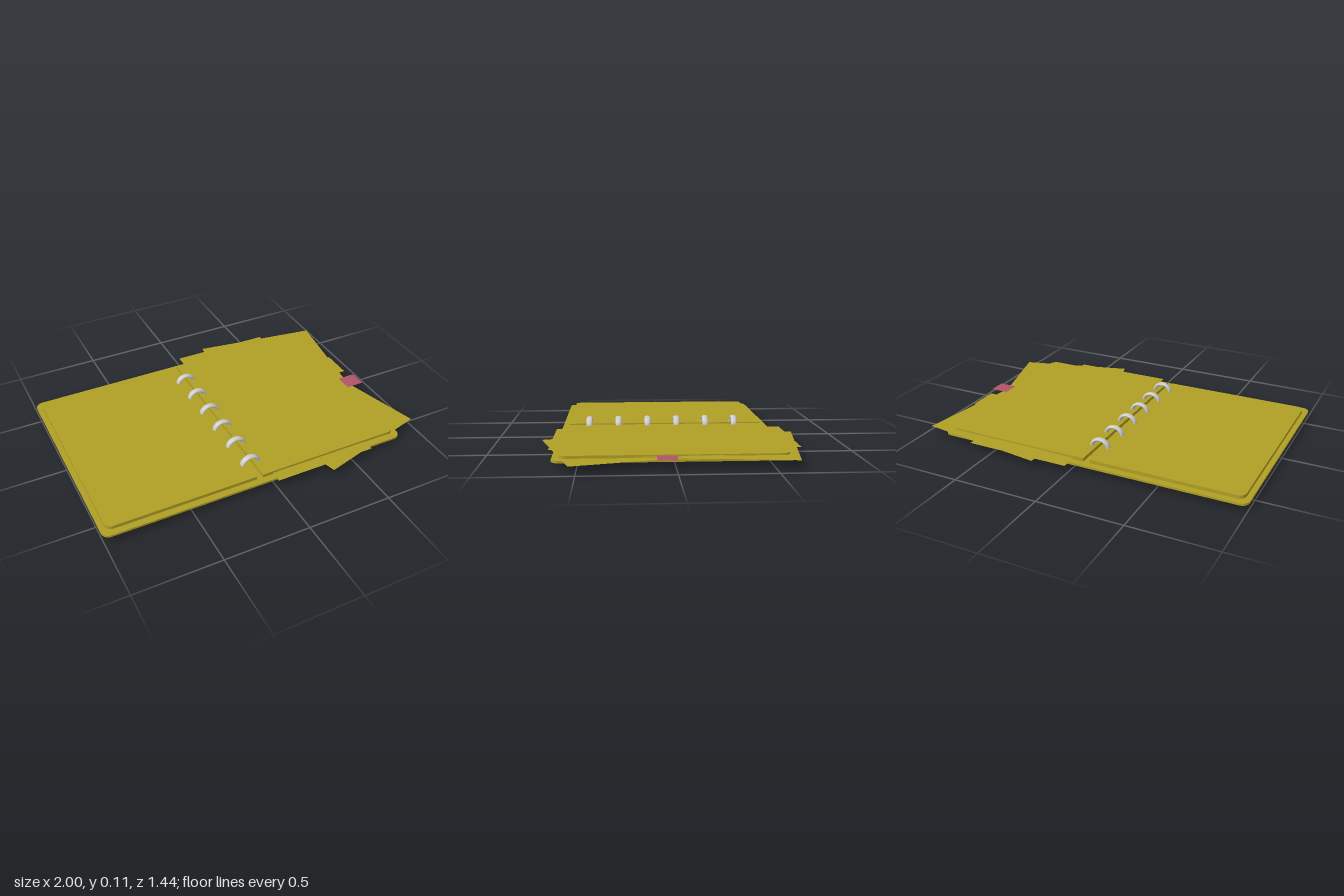
import * as THREE from 'three';

const SPINE = -0.075;

const mat = (color) => new THREE.MeshStandardMaterial({ color });
const paper = mat(0xb0a025);
const metal = mat(0xcccccc);
const sheetMat = mat(0xb0a025);
sheetMat.side = THREE.DoubleSide;
const tabMat = mat(0xb05468);
tabMat.side = THREE.DoubleSide;

// Flat slab lying between y0 and y1, with separate corner radii on its -x and +x sides
function slab(name, x0, x1, z, y0, y1, rl, rr) {
  const s = new THREE.Shape();
  s.moveTo(x0 + rl, -z);
  s.lineTo(x1 - rr, -z);
  if (rr) s.absarc(x1 - rr, -z + rr, rr, -Math.PI / 2, 0);
  s.lineTo(x1, z - rr);
  if (rr) s.absarc(x1 - rr, z - rr, rr, 0, Math.PI / 2);
  s.lineTo(x0 + rl, z);
  if (rl) s.absarc(x0 + rl, z - rl, rl, Math.PI / 2, Math.PI);
  s.lineTo(x0, -z + rl);
  if (rl) s.absarc(x0 + rl, -z + rl, rl, Math.PI, Math.PI * 1.5);
  const g = new THREE.ExtrudeGeometry(s, { depth: y1 - y0, bevelEnabled: false, curveSegments: 8 });
  g.rotateX(-Math.PI / 2).translate(0, y0, 0);
  const m = new THREE.Mesh(g, paper);
  m.name = name;
  return m;
}

// Thin sheet: centre, size and turn in plan
function sheet(name, x, z, w, d, y, turn, material = sheetMat) {
  const m = new THREE.Mesh(new THREE.PlaneGeometry(w, d).rotateX(-Math.PI / 2), material);
  m.position.set(x, y, z);
  m.rotation.y = turn;
  m.name = name;
  return m;
}

export function createModel() {
  const model = new THREE.Group();
  model.name = 'ringNotebook';

  // Open cover and the two page stacks
  model.add(slab('cover', -1, 0.85, 0.63, 0.03, 0.042, 0.045, 0.045));
  model.add(slab('rightPages', -0.97, -0.095, 0.59, 0.042, 0.062, 0.04, 0));
  model.add(slab('leftPages', -0.055, 0.825, 0.59, 0.042, 0.062, 0, 0.04));

  // Loose sheets sticking out of the page stack
  model.add(sheet('straightSheet', 0.313, -0.015, 0.615, 1.35, 0.05, 0));
  model.add(sheet('turnedSheetBack', 0.502, -0.175, 0.768, 1.0, 0.053, -0.144));
  model.add(sheet('turnedSheetFront', 0.535, 0.169, 0.695, 0.95, 0.047, 0.269));
  model.add(sheet('paperTab', 0.81, -0.158, 0.2, 0.185, 0.056, 0));
  model.add(sheet('bookmarkTab', 0.86, 0.046, 0.16, 0.105, 0.058, 0, tabMat));

  // Binder rings, wider along the spine than they are thick
  const ringGeo = new THREE.TorusGeometry(0.046, 0.01, 10, 32);
  for (let i = 0; i < 6; i++) {
    const ring = new THREE.Mesh(ringGeo, metal);
    ring.scale.set(1.1, 1, 1.9);
    ring.position.set(SPINE + 0.004, 0.056, -0.418 + i * 0.1765);
    ring.name = `binderRing${i + 1}`;
    model.add(ring);
  }
  return model;
}
